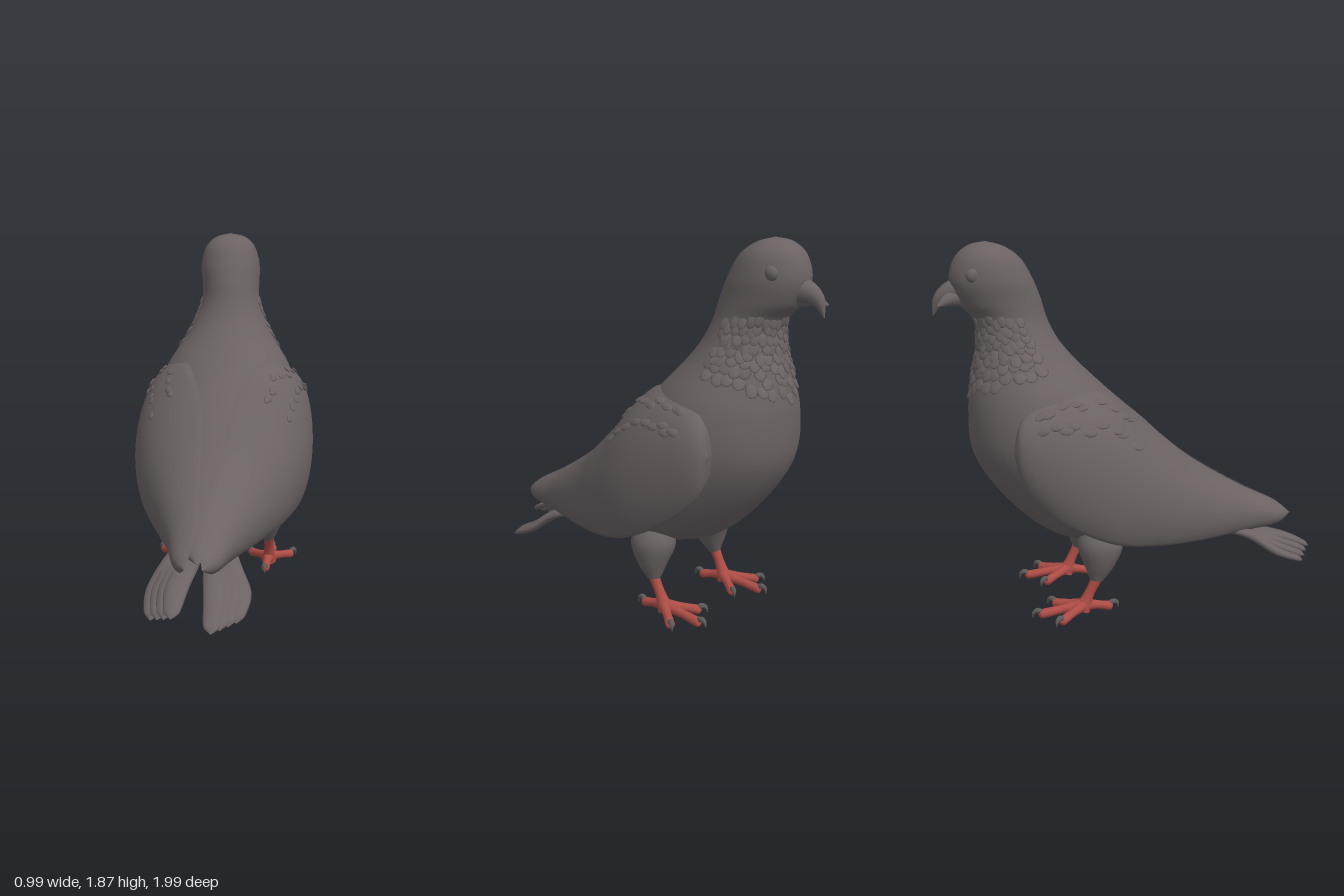
import * as THREE from 'three';
import { mergeGeometries } from 'three/addons/utils/BufferGeometryUtils.js';

const V = (x, y, z) => new THREE.Vector3(x, y, z);
const TAU = Math.PI * 2;

// seeded jitter in -1..1
let seed = 7;
const jitter = () => {
  seed = (seed * 16807) % 2147483647;
  return (seed / 2147483647) * 2 - 1;
};

// closed-ring surface from f(u, v); outward when du x dv points out
function loft(f, nu, nv, flip = false) {
  const pos = [], idx = [];
  for (let i = 0; i <= nu; i++)
    for (let j = 0; j < nv; j++) pos.push(...f(i / nu, j / nv).toArray());
  for (let i = 0; i < nu; i++)
    for (let j = 0; j < nv; j++) {
      const a = i * nv + j, b = i * nv + (j + 1) % nv, c = a + nv, d = b + nv;
      if (flip) idx.push(a, b, c, b, d, c);
      else idx.push(a, c, b, b, c, d);
    }
  const g = new THREE.BufferGeometry();
  g.setAttribute('position', new THREE.Float32BufferAttribute(pos, 3));
  g.setIndex(idx);
  g.computeVertexNormals();
  return g;
}

// tapered tube with optional flattening
function taper(pts, radii, flat = 1, nu = 14, nv = 12) {
  const path = new THREE.CatmullRomCurve3(pts);
  const rad = new THREE.CatmullRomCurve3(radii.map((r, i) => V(r, i, 0)));
  const chord = pts[pts.length - 1].clone().sub(pts[0]).normalize();
  const side = chord.clone().cross(Math.abs(chord.y) > 0.8 ? V(0, 0, 1) : V(0, 1, 0)).normalize();
  return loft((u, v) => {
    const n = side.clone().cross(path.getTangent(u)).normalize();
    const r = Math.max(rad.getPoint(u).x, 0.0005), a = v * TAU;
    return path.getPoint(u).addScaledVector(side, Math.cos(a) * r).addScaledVector(n, Math.sin(a) * r * flat);
  }, nu, nv);
}

// body sections from crown to rump: dorsal y, z, ventral y, z, half width, centre x
const BODY = [
  [1.878, -0.735, 1.878, -0.736, 0, -0.015], [1.855, -0.65, 1.858, -0.82, 0.085, -0.015],
  [1.80, -0.57, 1.80, -0.885, 0.143, -0.015], [1.70, -0.51, 1.69, -0.915, 0.17, -0.012],
  [1.6, -0.47, 1.58, -0.875, 0.165, -0.005], [1.5, -0.44, 1.5, -0.80, 0.165, 0],
  [1.4, -0.39, 1.38, -0.79, 0.2, 0], [1.3, -0.31, 1.25, -0.815, 0.26, 0],
  [1.2, -0.21, 1.05, -0.845, 0.35, 0], [1.08, -0.08, 0.82, -0.825, 0.4, 0],
  [0.95, 0.07, 0.59, -0.675, 0.41, 0], [0.8, 0.22, 0.39, -0.44, 0.39, 0],
  [0.67, 0.36, 0.33, -0.15, 0.34, 0], [0.55, 0.5, 0.32, 0.15, 0.25, 0],
  [0.45, 0.66, 0.31, 0.45, 0.15, 0], [0.37, 0.78, 0.37, 0.78, 0, 0],
];
const dorsal = new THREE.CatmullRomCurve3(BODY.map(b => V(b[5], b[0], b[1])));
const ventral = new THREE.CatmullRomCurve3(BODY.map(b => V(b[4], b[2], b[3])));
function bodyAt(u, v) {
  const d = dorsal.getPoint(u), e = ventral.getPoint(u), a = v * TAU, c = Math.cos(a);
  return V(d.x + e.x * Math.sin(a), (d.y + e.y) / 2 + (d.y - e.y) / 2 * c, (d.z + e.z) / 2 + (d.z - e.z) / 2 * c);
}

// wing sections: z, top y, top x, bottom y, bottom x, outermost x
const WING = [
  [-0.665, 0.91, 0.385, 0.91, 0.385, 0.385], [-0.62, 1.06, 0.36, 0.72, 0.39, 0.44],
  [-0.45, 1.155, 0.295, 0.56, 0.43, 0.478], [-0.2, 1.155, 0.18, 0.435, 0.44, 0.472],
  [0.05, 0.96, 0.08, 0.38, 0.37, 0.4], [0.3, 0.75, 0.05, 0.35, 0.265, 0.29],
  [0.6, 0.565, 0.025, 0.34, 0.145, 0.168], [0.82, 0.45, 0.02, 0.345, 0.075, 0.1],
  [0.895, 0.385, 0.04, 0.385, 0.04, 0.04],
];
const wingTop = new THREE.CatmullRomCurve3(WING.map(w => V(w[2], w[1], w[0])));
const wingLow = new THREE.CatmullRomCurve3(WING.map(w => V(w[4], w[3], w[0])));
const wingOut = new THREE.CatmullRomCurve3(WING.map(w => V(w[5], 0, w[0])));
const wingAt = s => (u, v) => {
  const a = wingTop.getPoint(u), b = wingLow.getPoint(u), o = wingOut.getPoint(u).x;
  const outer = v < 0.5, t = outer ? v * 2 : 2 - v * 2, q = 1 - t, h = a.y - b.y;
  const kx = (o - (a.x + b.x) / 8) / 0.75, mid = 3 * q * t;
  const x = q ** 3 * a.x + mid * kx + t ** 3 * b.x;
  const y = q ** 3 * a.y + mid * (q * (a.y - h * 0.14) + t * (b.y + h * 0.22)) + t ** 3 * b.y;
  const inset = outer ? 0 : Math.sin(t * Math.PI) * Math.min(0.17, o * 0.4, h * 0.6);
  return V(s * (x - inset), y, a.z);
};

// small overlapping feather tip laid on a surface, its end lifted
function scaleAt(f, u, v, w, len, flip = 1) {
  const p = f(u, v), du = f(u + 0.005, v).sub(p).normalize();
  const dv = f(u, v + 0.005).sub(p).normalize();
  const n = du.clone().cross(dv).multiplyScalar(flip).normalize();
  const y = du.clone().addScaledVector(n, 0.2 + jitter() * 0.12).addScaledVector(dv, jitter() * 0.2).normalize();
  const x = y.clone().cross(n).normalize(), z = x.clone().cross(y);
  const g = new THREE.SphereGeometry(1, 10, 6).scale(w, len, 0.007);
  return g.applyMatrix4(new THREE.Matrix4().makeBasis(x, y, z).setPosition(p));
}

export function createModel() {
  const plumage = new THREE.MeshStandardMaterial({ color: 0x6a6263 });
  const skin = new THREE.MeshStandardMaterial({ color: 0xac4c45 });
  const claw = new THREE.MeshStandardMaterial({ color: 0x5c5959 });
  const bird = new THREE.Group();
  bird.name = 'bird';
  const add = (name, geo, mat = plumage) => {
    const m = new THREE.Mesh(geo, mat);
    m.name = name;
    bird.add(m);
  };

  add('body', loft(bodyAt, 90, 48));

  // beak, slightly open and twisted
  add('upperBeak', taper([V(-0.015, 1.645, -0.83), V(-0.02, 1.635, -0.91), V(-0.022, 1.6, -0.965), V(-0.025, 1.525, -0.997)],
    [0.075, 0.054, 0.032, 0.002]));
  add('lowerBeak', taper([V(-0.02, 1.615, -0.85), V(-0.055, 1.605, -0.915), V(-0.095, 1.575, -0.975)], [0.05, 0.036, 0.006]));

  // neck feathers, reaching lowest over the breast
  const ruff = [];
  for (let r = 0; r < 8; r++)
    for (let k = -8; k <= 8; k++) {
      const v = 0.5 + (k + (r % 2) * 0.5 + jitter() * 0.3) * 0.033;
      const u = (5 + r * (0.36 - Math.abs(k) * 0.009) + jitter() * 0.12) / 15;
      ruff.push(scaleAt(bodyAt, u, v, 0.022 + r * 0.0015, 0.037));
    }
  add('neckFeathers', mergeGeometries(ruff));

  for (const s of [1, -1]) {
    const side = s > 0 ? 'left' : 'right';
    // eye
    add(side + 'Eye', new THREE.SphereGeometry(0.034, 16, 12).scale(0.7, 1, 1).translate(s * 0.137 - 0.012, 1.72, -0.807));

    // folded wing with covert feather tips
    const f = wingAt(s);
    add(side + 'Wing', loft(f, 60, 48, s < 0));
    const coverts = [];
    for (let r = 0; r < 2; r++)
      for (let k = 0; k < 9; k++)
        coverts.push(scaleAt(f, 0.2 + k * 0.03 + jitter() * 0.012, 0.07 + r * 0.075 + jitter() * 0.015, 0.02, 0.038, s));
    add(side + 'WingCoverts', mergeGeometries(coverts));

    // tail feathers; the left fan hangs lower
    const low = s > 0;
    for (let k = 0; k < 4; k++) {
      const x = s * (0.085 + k * 0.035), y = low ? 0.115 + k * 0.008 : 0.195 - k * 0.014;
      const z = (low ? 0.95 : 0.995) - k * 0.026;
      add(side + 'TailFeather', taper(
        [V(s * 0.05, 0.38, 0.3), V(s * (0.065 + k * 0.022), low ? 0.3 : 0.325, 0.6), V(x, y + 0.075, z - 0.16), V(x, y + 0.018, z - 0.03), V(x, y, z)],
        [0.05, 0.06, 0.055, 0.036, 0.002], 0.42, 22));
    }

    // feathered thigh
    add(side + 'Thigh', taper([V(s * 0.2, 0.46, -0.215), V(s * 0.235, 0.36, -0.225), V(s * 0.255, 0.27, -0.235), V(s * 0.26, 0.18, -0.25)],
      [0.09, 0.11, 0.078, 0.03], 1.05, 16, 20));

    // shank, toes and claws
    add(side + 'Shank', taper([V(s * 0.26, 0.23, -0.23), V(s * 0.258, 0.12, -0.285), V(s * 0.255, 0.03, -0.325)],
      [0.032, 0.026, 0.042]), skin);
    for (const [tx, tz] of [[0.265, -0.54], [0.375, -0.45], [0.145, -0.45], [0.245, -0.175]]) {
      const c = V(s * 0.255, 0.055, -0.31), e = V(s * tx, 0.03, tz);
      const dir = e.clone().sub(c).setY(0).normalize();
      const mid = c.clone().lerp(e, 0.5).setY(0.044);
      add(side + 'Toe', taper([c, mid, e, e.clone().addScaledVector(dir, 0.014)], [0.033, 0.022, 0.023, 0.002]), skin);
      const at = (d, y) => e.clone().addScaledVector(dir, d).setY(y);
      add(side + 'Claw', taper([at(-0.008, 0.038), at(0.015, 0.052), at(0.036, 0.042), at(0.042, 0.016)],
        [0.014, 0.014, 0.01, 0.002], 1, 10, 8), claw);
    }
  }

  // under-tail feathers
  const vent = [];
  for (let r = 0; r < 3; r++)
    for (let k = -2; k <= 2; k++)
      vent.push(scaleAt(bodyAt, (12 + r * 0.4) / 15, 0.5 + k * 0.045, 0.025, 0.045));
  add('ventFeathers', mergeGeometries(vent));
  return bird;
}
